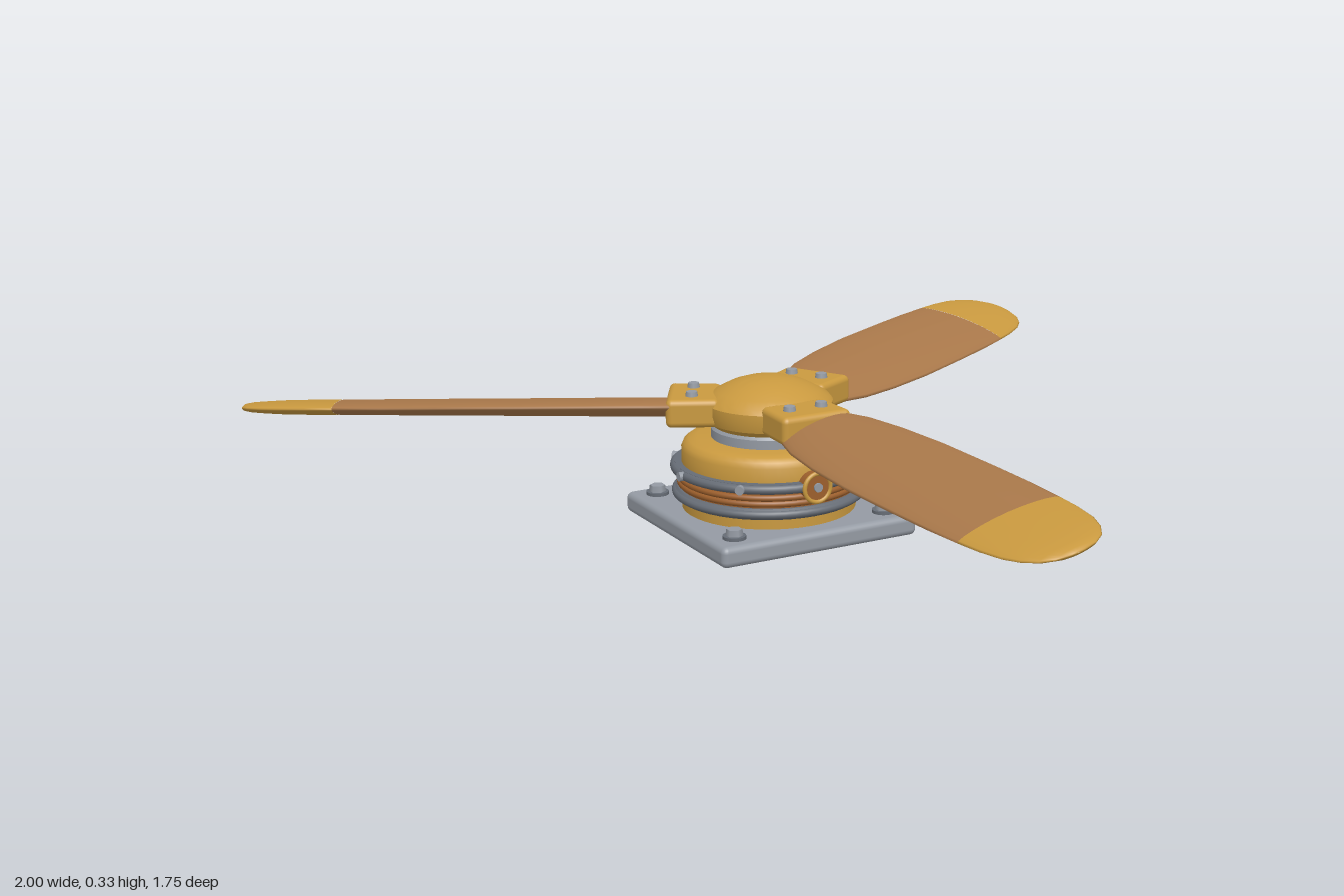
import * as THREE from 'three';
import { toCreasedNormals } from 'three/addons/utils/BufferGeometryUtils.js';
import { RoundedBoxGeometry } from 'three/addons/geometries/RoundedBoxGeometry.js';

const material = (name, color, side = THREE.FrontSide) => {
  const m = new THREE.MeshStandardMaterial({ color, side });
  m.name = name;
  return m;
};

export function createModel() {
  const brass = material('brass', 0xc9993f);
  const wood = material('wood', 0xa9784a);
  const steel = material('steel', 0x949aa3);
  const darkSteel = material('dark steel', 0x666c75);
  const copper = material('copper', 0x9c5f2c);

  const model = new THREE.Group();
  model.name = 'propeller';
  const assembly = new THREE.Group();
  assembly.name = 'motorAndBlades';
  assembly.position.z = -0.262;
  model.add(assembly);

  const add = (parent, name, geometry, mat, x = 0, y = 0, z = 0) => {
    const mesh = new THREE.Mesh(geometry, mat);
    mesh.name = name;
    mesh.position.set(x, y, z);
    parent.add(mesh);
    return mesh;
  };
  const lathe = (name, mat, profile) => {
    const points = profile.map(([r, y]) => new THREE.Vector2(r, y));
    const geometry = toCreasedNormals(new THREE.LatheGeometry(points, 48), 0.6);
    return add(assembly, name, geometry, mat);
  };
  const ring = (name, mat, radius, tube, y) => {
    const geometry = new THREE.TorusGeometry(radius, tube, 10, 56);
    geometry.rotateX(Math.PI / 2);
    return add(assembly, name, geometry, mat, 0, y, 0);
  };

  // Mounting plate with a bolt and washer in each corner
  add(assembly, 'basePlate', new RoundedBoxGeometry(0.472, 0.046, 0.472, 3, 0.014), steel, 0, 0.023, 0);
  for (const x of [-0.182, 0.182]) {
    for (const z of [-0.182, 0.182]) {
      add(assembly, 'baseWasher', new THREE.CylinderGeometry(0.025, 0.025, 0.008, 20), darkSteel, x, 0.049, z);
      add(assembly, 'baseBolt', new THREE.CylinderGeometry(0.017, 0.019, 0.016, 6), steel, x, 0.059, z);
    }
  }

  // Motor housing, stacked from the plate upward
  lathe('lowerHousing', brass, [[0, 0.044], [0.19, 0.044], [0.19, 0.075], [0, 0.075]]);
  lathe('lowerFlange', darkSteel, [[0, 0.07], [0.2, 0.07], [0.208, 0.076], [0.208, 0.088], [0.2, 0.094], [0, 0.094]]);
  lathe('windingCore', copper, [[0, 0.09], [0.195, 0.09], [0.195, 0.132], [0, 0.132]]);
  for (const y of [0.103, 0.116]) ring('winding', copper, 0.194, 0.007, y);
  ring('lowerRing', darkSteel, 0.203, 0.009, 0.082);
  ring('upperRing', darkSteel, 0.205, 0.01, 0.138);
  lathe('upperFlange', darkSteel, [[0, 0.128], [0.205, 0.128], [0.205, 0.148], [0, 0.148]]);
  lathe('upperHousing', brass, [[0, 0.145], [0.19, 0.145], [0.19, 0.178], [0.185, 0.19], [0.174, 0.198], [0.155, 0.202], [0, 0.202]]);
  lathe('shaftCollar', steel, [[0, 0.2], [0.125, 0.2], [0.125, 0.222], [0.118, 0.23], [0, 0.23]]);

  // Small screws around the upper ring
  for (let i = 0; i < 8; i++) {
    const pivot = new THREE.Group();
    pivot.name = 'ringScrew';
    pivot.rotation.y = (i * Math.PI) / 4;
    assembly.add(pivot);
    const screw = add(pivot, 'screwHead', new THREE.CylinderGeometry(0.01, 0.01, 0.012, 12), steel, 0, 0.138, 0.214);
    screw.rotation.x = Math.PI / 2;
  }

  // Round terminal on the front of the housing
  const terminal = add(assembly, 'frontTerminal', new THREE.CylinderGeometry(0.032, 0.032, 0.03, 24), copper, 0, 0.137, 0.2);
  terminal.rotation.x = Math.PI / 2;
  add(assembly, 'terminalRim', new THREE.TorusGeometry(0.031, 0.005, 8, 28), brass, 0, 0.137, 0.214);

  // Domed hub
  lathe('hub', brass, [[0, 0.228], [0.12, 0.228], [0.135, 0.24], [0.14, 0.26], [0.14, 0.28], [0.132, 0.29],
    [0.11, 0.303], [0.085, 0.316], [0.055, 0.326], [0.025, 0.331], [0, 0.332]]);

  // Blade stations: distance from hub, half width, half thickness
  const root = [[0.14, 0.07, 0.02], [0.2, 0.082, 0.021], [0.27, 0.1, 0.021], [0.38, 0.113, 0.02],
    [0.52, 0.121, 0.019], [0.7, 0.122, 0.018], [0.82, 0.121, 0.017], [0.92, 0.117, 0.016]];
  const tip = [[0.92, 0.117, 0.0165], [0.98, 0.113, 0.016], [1.04, 0.104, 0.015], [1.08, 0.09, 0.013],
    [1.11, 0.07, 0.011], [1.127, 0.045, 0.008], [1.134, 0.015, 0.003], [1.135, 0.001, 0.0005]];

  // Loft of lens-shaped sections along z, pitched so the +x edge is high
  const loft = (stations) => {
    const sides = 24, positions = [], index = [];
    for (const [r, w, t] of stations) {
      const pitch = 0.27 - 0.05 * r;
      for (let j = 0; j < sides; j++) {
        const a = (j / sides) * Math.PI * 2;
        const u = w * Math.cos(a);
        const v = t * Math.sin(a) * (0.65 + 0.35 * Math.abs(Math.sin(a)));
        positions.push(u * Math.cos(pitch) - v * Math.sin(pitch), u * Math.sin(pitch) + v * Math.cos(pitch), r);
      }
    }
    for (let i = 0; i < stations.length - 1; i++) {
      for (let j = 0; j < sides; j++) {
        const k = (j + 1) % sides;
        const a = i * sides + j, b = i * sides + k;
        index.push(a, b, b + sides, a, b + sides, a + sides);
      }
    }
    const geometry = new THREE.BufferGeometry();
    geometry.setAttribute('position', new THREE.Float32BufferAttribute(positions, 3));
    geometry.setIndex(index);
    geometry.computeVertexNormals();
    return geometry;
  };
  const rootGeometry = loft(root);
  const tipGeometry = loft(tip);

  // Clamp block, a little wider at its outer end
  const clampGeometry = new RoundedBoxGeometry(0.158, 0.062, 0.115, 3, 0.013);
  const p = clampGeometry.attributes.position;
  for (let i = 0; i < p.count; i++) p.setX(i, p.getX(i) * (1 + 0.7 * p.getZ(i)));

  // Three blades, each with its clamp and two bolts
  for (let i = 0; i < 3; i++) {
    const arm = new THREE.Group();
    arm.name = 'bladeArm';
    arm.rotation.y = (i * Math.PI * 2) / 3;
    assembly.add(arm);
    add(arm, 'blade', rootGeometry, wood, 0, 0.263, 0);
    add(arm, 'bladeTip', tipGeometry, brass, 0, 0.263, 0);
    add(arm, 'clamp', clampGeometry, brass, 0, 0.267, 0.16);
    for (const x of [-0.038, 0.038]) {
      add(arm, 'clampBolt', new THREE.CylinderGeometry(0.012, 0.014, 0.012, 12), steel, x, 0.302, 0.163);
    }
  }
  return model;
}
